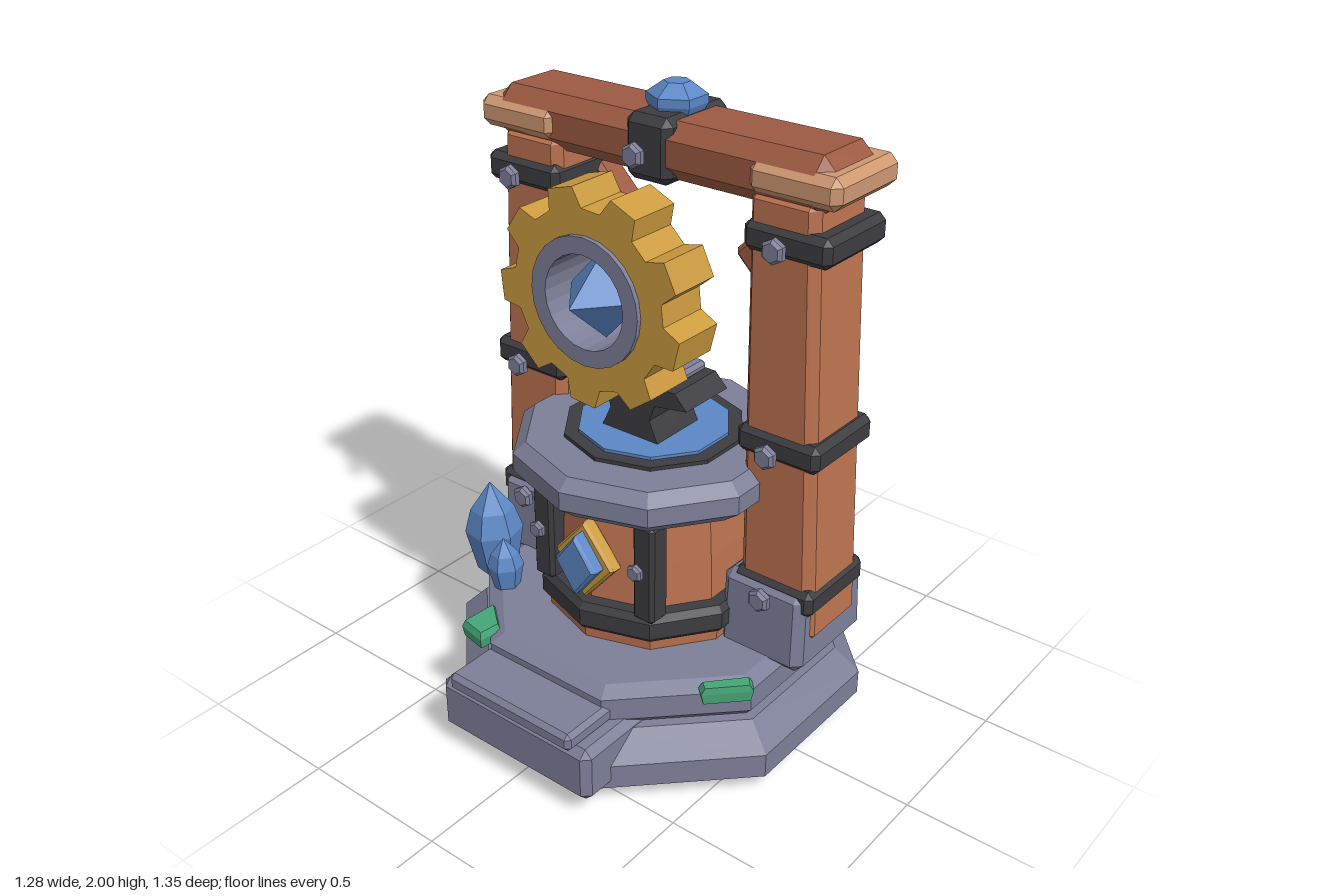
import * as THREE from 'three';
import { ConvexGeometry } from 'three/addons/geometries/ConvexGeometry.js';

const mat = (name, color) => {
  const m = new THREE.MeshStandardMaterial({ color });
  m.name = name;
  return m;
};
const V = (x, y, z) => new THREE.Vector3(x, y, z);

// faceted normals for any geometry
function flat(g) {
  const f = g.index ? g.toNonIndexed() : g;
  f.computeVertexNormals();
  return f;
}

// box with all edges chamfered, centred on the origin; bend moves its corner points
function chamferBox(w, h, d, c = 0.02, bend = (p) => p) {
  const pts = [];
  for (const sx of [-1, 1]) for (const sy of [-1, 1]) for (const sz of [-1, 1]) {
    const [x, y, z] = [w / 2, h / 2, d / 2];
    pts.push(V(sx * x, sy * (y - c), sz * (z - c)), V(sx * (x - c), sy * y, sz * (z - c)), V(sx * (x - c), sy * (y - c), sz * z));
  }
  return new ConvexGeometry(pts.map(bend));
}

// faceted solid of revolution from [radius, y] pairs
function turned(profile, sides, phase = 0) {
  const pts = profile.map(([r, y]) => new THREE.Vector2(r, y));
  return flat(new THREE.LatheGeometry(pts, sides, phase, Math.PI * 2));
}

export function createModel() {
  const group = new THREE.Group();
  const stone = mat('stone', 0x7d7f98);
  const iron = mat('iron', 0x3d3d41);
  const wood = mat('wood', 0xbd7350);
  const darkWood = mat('darkWood', 0x9c5a42);
  const paleWood = mat('paleWood', 0xcf9872);
  const gold = mat('gold', 0xcc9b40);
  const blue = mat('blueCrystal', 0x5c88c6);
  const green = mat('greenMoss', 0x46a678);

  const add = (name, geo, material, x = 0, y = 0, z = 0) => {
    const m = new THREE.Mesh(geo, material);
    m.name = name;
    m.position.set(x, y, z);
    group.add(m);
    return m;
  };
  const CZ = -0.04; // axis of the round parts
  const PZ = -0.135; // plane of the frame

  // octagonal plinth in two tiers
  const oct = (a) => a / Math.cos(Math.PI / 8);
  const tier = (list) => turned(list.map(([a, y]) => [oct(a), y]), 8, Math.PI / 8);
  add('plinthLower', tier([[0, 0], [0.565, 0], [0.63, 0.055], [0.63, 0.135], [0.555, 0.215], [0, 0.215]]), stone, 0, 0, CZ - 0.005);
  add('plinthUpper', tier([[0, 0.2], [0.51, 0.2], [0.545, 0.24], [0.545, 0.315], [0.5, 0.34], [0, 0.34]]), stone, 0, 0, CZ - 0.005);

  // front step
  add('stepBlock', chamferBox(0.6, 0.185, 0.3, 0.025), stone, 0, 0.15, 0.505);
  add('stepSlab', chamferBox(0.49, 0.06, 0.26, 0.015), stone, 0, 0.262, 0.54);

  // barrel-shaped well body and its stone rim
  add('barrel', turned([[0, 0.335], [0.345, 0.335], [0.35, 0.385], [0.315, 0.46], [0.31, 0.62], [0.297, 0.81], [0, 0.81]], 10), wood, 0, 0, CZ);
  add('barrelBand', turned([[0.3, 0.38], [0.36, 0.38], [0.372, 0.395], [0.372, 0.45], [0.355, 0.472], [0.3, 0.472]], 10), iron, 0, 0, CZ);
  add('rim', turned([[0, 0.79], [0.375, 0.79], [0.445, 0.845], [0.445, 0.905], [0.405, 0.94], [0, 0.94]], 10), stone, 0, 0, CZ + 0.005);
  add('rimInlay', turned([[0.285, 0.935], [0.285, 0.952], [0, 0.952]], 10), iron, 0, 0, CZ + 0.005);
  add('waterDisc', turned([[0.24, 0.945], [0.24, 0.962], [0, 0.962]], 10), blue, 0, 0, CZ + 0.005);

  // hexagonal bolt head facing front
  const boltProfile = [[0, -0.018], [0.028, -0.018], [0.038, -0.008], [0.038, 0.008], [0.028, 0.018], [0, 0.018]];
  const bolt = (x, y, z, s = 1) => {
    const b = add('bolt', turned(boltProfile, 6), stone, x, y, z);
    b.rotation.x = Math.PI / 2;
    b.scale.setScalar(s);
  };

  // diamond ornament on the barrel front
  const diamond = (name, w, h, d, c, material, z) => add(name, new ConvexGeometry([-1, 1].flatMap((s) => [
    V(w, 0, s * (d - c)), V(-w, 0, s * (d - c)), V(0, h, s * (d - c)), V(0, -h, s * (d - c)),
    V(w - c, 0, s * d), V(c - w, 0, s * d), V(0, h - c, s * d), V(0, c - h, s * d),
  ])), material, 0, 0.62, z);
  diamond('diamondFrame', 0.115, 0.135, 0.025, 0.01, gold, 0.285);
  diamond('diamondGem', 0.08, 0.105, 0.03, 0.012, blue, 0.325);

  // anvil
  const anvilShape = new THREE.Shape([
    [-0.11, 0.955], [0.11, 0.955], [0.075, 1.03], [0.095, 1.085], [0.215, 1.105], [0.17, 1.15],
    [-0.19, 1.15], [-0.19, 1.09], [-0.09, 1.085], [-0.075, 1.03],
  ].map(([x, y]) => new THREE.Vector2(x, y)));
  add('anvilBody', new THREE.ExtrudeGeometry(anvilShape, { depth: 0.2, bevelEnabled: false }), iron, 0, 0, -0.115);
  add('anvilFace', chamferBox(0.32, 0.035, 0.19, 0.012), stone, -0.02, 1.16, -0.02);

  for (const s of [-1, 1]) {
    // iron strap on the barrel
    add('barrelStrap', chamferBox(0.08, 0.34, 0.08, 0.012), iron, s * 0.2, 0.63, 0.235);
    bolt(s * 0.195, 0.65, 0.3, 0.75);

    // leaning, tapering post with stone foot
    const post = chamferBox(0.27, 1.4, 0.27, 0.03, (p) => {
      const t = (p.y + 0.7) / 1.4;
      return V(p.x * (1 - 0.17 * t) + s * (0.49 - 0.036 * t), p.y, p.z);
    });
    add('post', post, wood, 0, 1.1, PZ);
    const foot = chamferBox(0.305, 0.28, 0.37, 0.03, (p) => V(p.x * (1 - 0.15 * (p.y + 0.14)), p.y, p.z * (1 - 0.25 * (p.y + 0.14))));
    add('foot', foot, stone, s * 0.463, 0.447, -0.142);

    // iron bands and their bolts
    for (const [y, x] of [[0.55, 0.485], [1.04, 0.48], [1.665, 0.48]]) {
      add('postBand', chamferBox(0.285, 0.09, 0.305, 0.02), iron, s * x, y, PZ - 0.002);
      bolt(s * 0.48, y, 0.063);
    }

    // slanted brace and the pale cap at the beam end
    const brace = add('brace', chamferBox(0.34, 0.1, 0.1, 0.015), darkWood, s * 0.33, 1.6, -0.228);
    brace.rotation.z = s * Math.PI / 4;
    add('beamCap', chamferBox(0.295, 0.095, 0.32, 0.025), paleWood, s * 0.495, 1.833, PZ - 0.005);
  }

  // cross beam with centre bracket and crowning gem
  add('beam', chamferBox(1.2, 0.17, 0.275, 0.045), darkWood, 0, 1.833, PZ);
  add('beamBracket', chamferBox(0.165, 0.195, 0.3, 0.025), iron, 0, 1.832, PZ - 0.003);
  bolt(0, 1.83, 0.063);
  add('topGem', turned([[0, 1.92], [0.08, 1.92], [0.09, 1.94], [0.09, 1.965], [0.04, 2], [0, 2]], 6), blue, 0, 0, PZ);

  // gear wheel with nine teeth, stone ring and floating gem
  const gearPts = [];
  for (let i = 0; i < 9; i++) {
    for (const [da, r] of [[-13, 0.272], [-8, 0.33], [8, 0.33], [13, 0.272]]) {
      const a = THREE.MathUtils.degToRad(66 + i * 40 + da);
      gearPts.push(new THREE.Vector2(r * Math.cos(a), r * Math.sin(a)));
    }
  }
  const gearShape = new THREE.Shape(gearPts);
  gearShape.holes.push(new THREE.Path().absarc(0, 0, 0.185, 0, Math.PI * 2, true));
  add('gear', new THREE.ExtrudeGeometry(gearShape, { depth: 0.17, bevelEnabled: false, curveSegments: 12 }), gold, 0, 1.46, 0.1);
  const ring = add('gearRing', turned([[0.143, -0.1], [0.195, -0.1], [0.195, 0.1], [0.143, 0.1], [0.143, -0.1]], 24), stone, 0, 1.46, 0.185);
  ring.rotation.x = Math.PI / 2;
  const gem = add('gearGem', new THREE.OctahedronGeometry(1), blue, 0, 1.46, 0.187);
  gem.scale.set(0.13, 0.14, 0.158);

  // crystals growing at the feet
  const crystal = (x, y, z, r, h, tilt) => {
    const c = add('crystal', turned([[0, 0], [r * 0.7, 0], [r, h * 0.45], [r * 0.75, h * 0.7], [0, h]], 6, 0.3), blue, x, y, z);
    c.rotation.z = tilt;
  };
  crystal(-0.52, 0.31, 0.16, 0.097, 0.32, 0.06);
  crystal(-0.39, 0.33, 0.25, 0.06, 0.18, 0.05);
  crystal(0.52, 0.34, -0.285, 0.06, 0.17, 0);

  // moss patches over the plinth edge, given by their [x, z] outlines
  const patches = [
    [[-0.34, 0.36], [-0.24, 0.44], [-0.25, 0.52], [-0.35, 0.5]],
    [[0.42, 0.28], [0.53, 0.155], [0.56, 0.19], [0.45, 0.305]],
    [[-0.53, -0.44], [-0.37, -0.44], [-0.36, -0.42], [-0.43, -0.33], [-0.53, -0.34]],
  ];
  for (const p of patches) {
    const cx = p.reduce((a, q) => a + q[0], 0) / p.length;
    const cz = p.reduce((a, q) => a + q[1], 0) / p.length;
    const layer = (k, y) => p.map(([x, z]) => V(cx + (x - cx) * k, y, cz + (z - cz) * k));
    add('mossPatch', new ConvexGeometry([...layer(0.9, 0.29), ...layer(1, 0.325), ...layer(0.85, 0.347)]), green);
  }
  return group;
}
